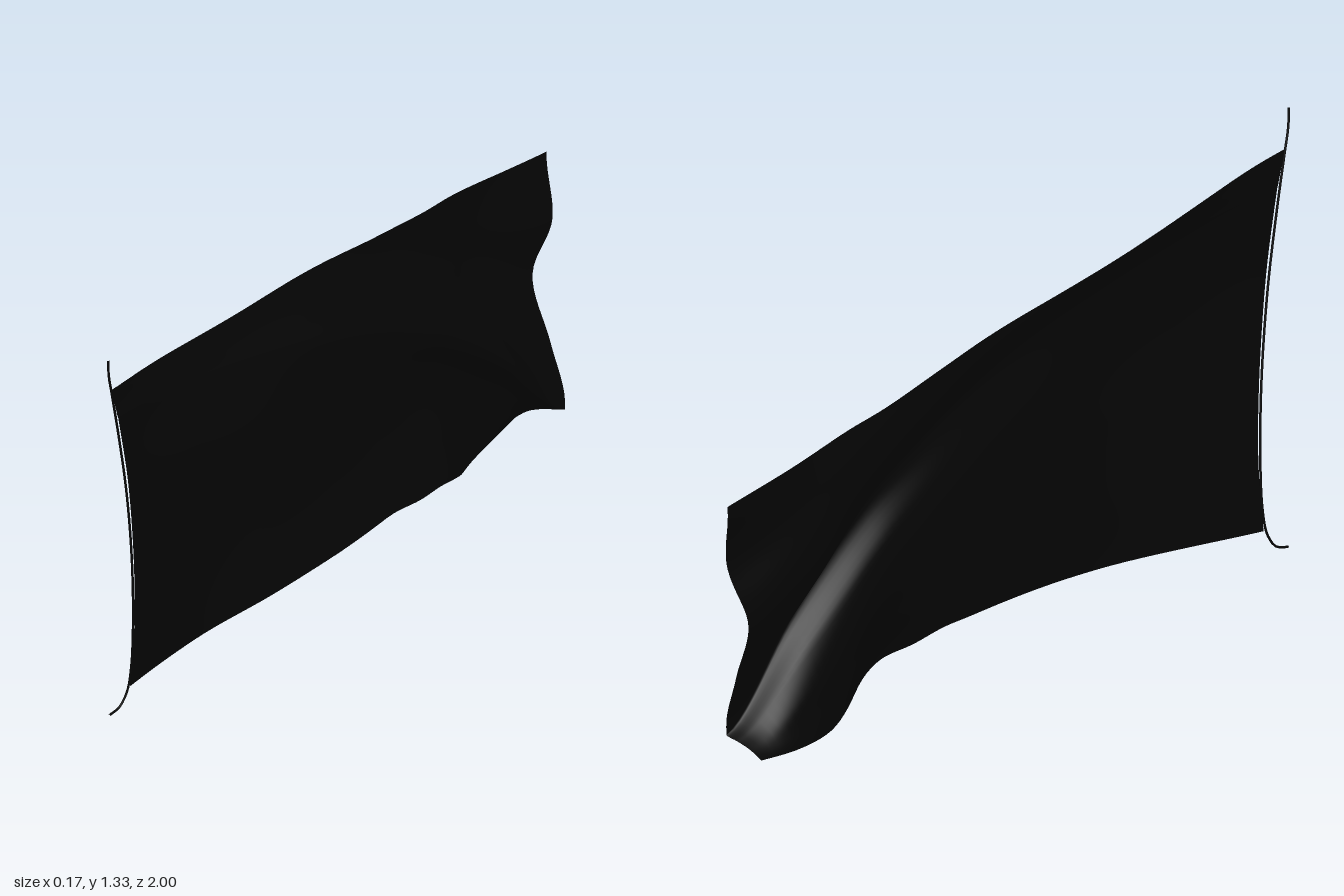
import * as THREE from 'three';

// smooth curve through [z, y] pairs
const edge = (...pts) => new THREE.SplineCurve(pts.map(([z, y]) => new THREE.Vector2(z, y)));
// smooth value along a list of evenly spaced numbers
const blend = (values, t) => new THREE.SplineCurve(values.map(v => new THREE.Vector2(v, 0))).getPoint(t).x;

// the four borders of the cloth in side elevation
const top = edge([0.98, 1.24], [0.8, 1.195], [0.4, 1.075], [0, 0.97], [-0.25, 0.89], [-0.45, 0.825], [-0.6, 0.785], [-0.8, 0.72], [-1, 0.66]);
const bottom = edge([0.925, 0.31], [0.6, 0.297], [0.3, 0.268], [0, 0.225], [-0.1, 0.21], [-0.2, 0.183], [-0.3, 0.165],
  [-0.38, 0.13], [-0.47, 0.075], [-0.57, 0.035], [-0.7, 0.014], [-0.835, 0.008]);
const hoist = edge([0.98, 1.24], [0.955, 1.09], [0.932, 0.9], [0.914, 0.68], [0.91, 0.48], [0.925, 0.31]);
const fly = edge([-1, 0.66], [-0.965, 0.55], [-0.935, 0.44], [-0.895, 0.33], [-0.87, 0.21], [-0.85, 0.11], [-0.835, 0.05], [-0.835, 0.008]);

// how far down the cloth the main diagonal fold lies, from hoist to fly
const foldLine = [0.1, 0.1, 0.12, 0.175, 0.28, 0.42, 0.6, 0.93];

// sideways billow: one row per station from hoist to fly;
// four steps from the top down to the fold, four from the fold to the bottom
const billow = [
  [-0.015, -0.014, -0.013, -0.011, -0.008, 0.002, 0.004, 0.003, 0],
  [-0.035, -0.028, -0.02, -0.01, 0, 0.02, 0.023, 0.022, 0.022],
  [-0.052, -0.042, -0.028, -0.006, 0.018, 0.036, 0.042, 0.05, 0.062],
  [-0.065, -0.053, -0.033, 0, 0.038, 0.036, 0.042, 0.055, 0.08],
  [-0.068, -0.06, -0.04, -0.002, 0.05, 0.028, 0.03, 0.05, 0.078],
  [-0.08, -0.078, -0.06, -0.01, 0.062, 0.015, 0.01, 0.04, 0.075],
  [-0.088, -0.086, -0.082, -0.04, 0.07, 0.015, -0.01, -0.01, -0.008],
  [-0.083, -0.035, -0.06, 0.015, 0.08, 0.045, 0.01, -0.015, -0.035],
];

function clothGeometry() {
  const geo = new THREE.PlaneGeometry(1, 1, 72, 64);
  const pos = geo.attributes.position, uv = geo.attributes.uv;
  const mix = THREE.MathUtils.lerp;
  for (let i = 0; i < pos.count; i++) {
    const u = uv.getX(i), s = 1 - uv.getY(i);
    const fold = blend(foldLine, u);
    const w = s < 0.5 ? 2 * s * fold : mix(fold, 1, 2 * s - 1);
    const t = top.getPointAt(u), b = bottom.getPointAt(u);
    const h = hoist.getPointAt(w), f = fly.getPointAt(w);
    // patch spanned between the four borders
    const span = k => mix(t[k], b[k], w) + mix(h[k], f[k], u)
      - mix(mix(top.points[0][k], top.points.at(-1)[k], u), mix(bottom.points[0][k], bottom.points.at(-1)[k], u), w);
    const x = blend(billow.map(row => blend(row, s)), u);
    pos.setXYZ(i, x, span('y'), span('x'));
  }
  geo.computeVertexNormals();
  return geo;
}

export function createModel() {
  const model = new THREE.Group();
  model.name = 'flag';

  // wind-blown cloth
  const cloth = new THREE.Mesh(clothGeometry(),
    new THREE.MeshStandardMaterial({ color: 0x050505, side: THREE.DoubleSide }));
  cloth.name = 'cloth';
  model.add(cloth);

  // cord along the hoist, with loose ends above and below
  const path = new THREE.CatmullRomCurve3([
    [-0.015, 1.34, 0.997], [-0.015, 1.29, 0.994], [-0.014, 1.235, 0.984], [-0.007, 1.09, 0.963], [0.001, 0.9, 0.94],
    [0.004, 0.68, 0.922], [0.004, 0.48, 0.918], [0.002, 0.36, 0.924], [-0.001, 0.3, 0.937], [-0.006, 0.268, 0.962],
    [-0.012, 0.263, 0.997],
  ].map(p => new THREE.Vector3(...p)));
  const cord = new THREE.Mesh(new THREE.TubeGeometry(path, 90, 0.003, 8),
    new THREE.MeshStandardMaterial({ color: 0x050505 }));
  cord.name = 'hoistCord';
  model.add(cord);

  return model;
}
